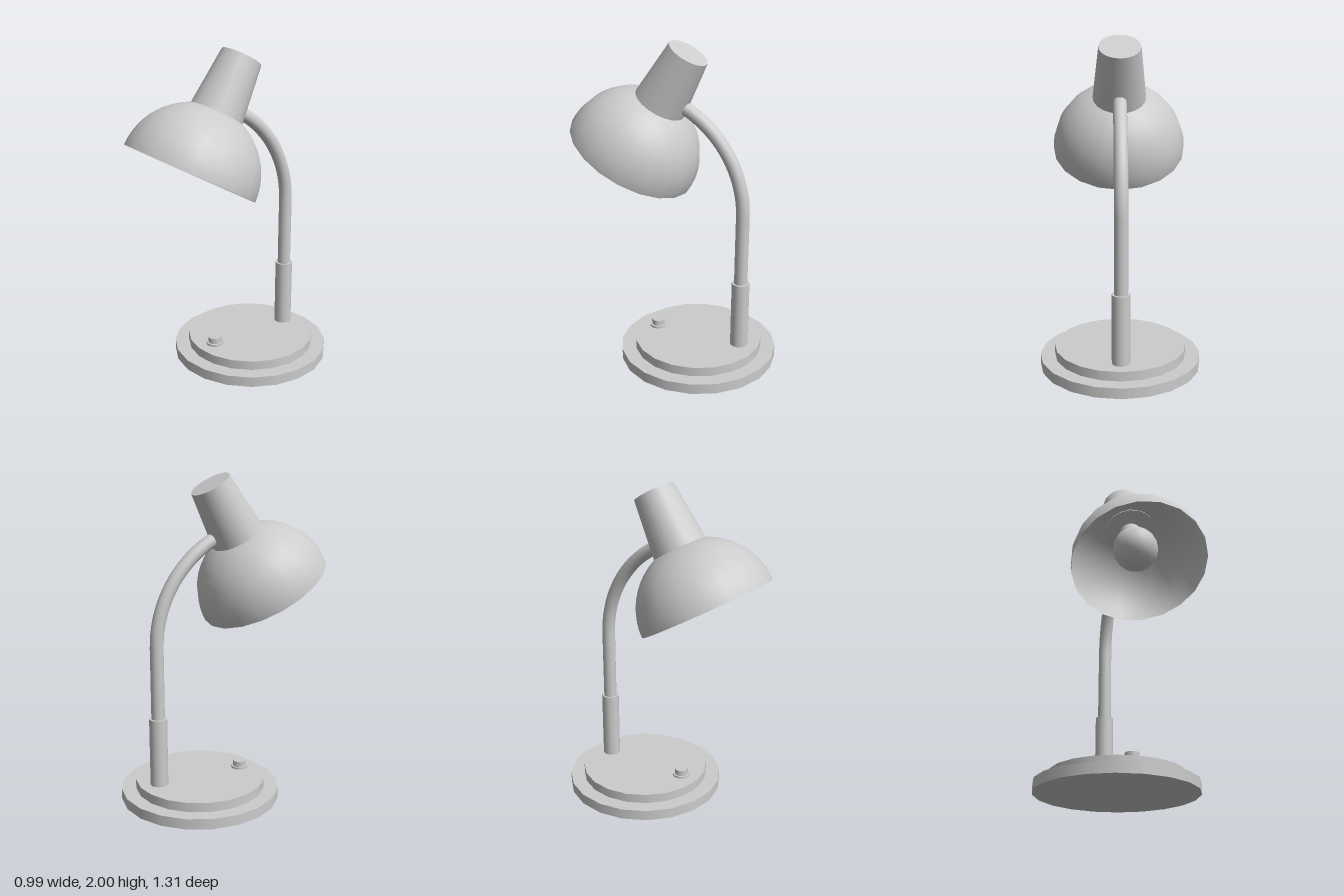
import * as THREE from 'three';

const SIDES = 20;
const ARM_Z = -0.44;

export function createModel() {
  const lamp = new THREE.Group();
  lamp.name = 'deskLamp';
  const grey = new THREE.MeshStandardMaterial({ color: 0xcccccc });
  const thin = new THREE.MeshStandardMaterial({ color: 0xcccccc, side: THREE.DoubleSide });

  function add(parent, name, geometry, material = grey) {
    const mesh = new THREE.Mesh(geometry, material);
    mesh.name = name;
    parent.add(mesh);
    return mesh;
  }

  // Upright cylinder spanning y0..y1
  function post(parent, name, rTop, rBottom, y0, y1, z = 0, sides = SIDES) {
    const mesh = add(parent, name, new THREE.CylinderGeometry(rTop, rBottom, y1 - y0, sides));
    mesh.position.set(0, (y0 + y1) / 2, z);
    return mesh;
  }

  // Stepped round base
  post(lamp, 'baseLower', 0.495, 0.495, 0, 0.065, -0.16);
  post(lamp, 'baseUpper', 0.405, 0.405, 0.065, 0.123, -0.16);

  // Push switch
  post(lamp, 'switchCollar', 0.055, 0.055, 0.12, 0.136, 0.125, 10);
  post(lamp, 'switchButton', 0.042, 0.042, 0.13, 0.171, 0.125, 10);

  // Sleeve, then the arm: a straight run followed by an arc into the neck
  post(lamp, 'armSleeve', 0.055, 0.055, 0.12, 0.55, ARM_Z);
  const bendY = 0.99, bendR = 0.7, bendAngle = THREE.MathUtils.degToRad(66);
  const path = new THREE.CurvePath();
  path.add(new THREE.LineCurve3(new THREE.Vector3(0, 0.5, ARM_Z), new THREE.Vector3(0, bendY, ARM_Z)));
  const arc = [];
  for (let i = 0; i <= 12; i++) {
    const a = (bendAngle * i) / 12;
    arc.push(new THREE.Vector3(0, bendY + bendR * Math.sin(a), ARM_Z + bendR * (1 - Math.cos(a))));
  }
  path.add(new THREE.CatmullRomCurve3(arc));
  add(lamp, 'arm', new THREE.TubeGeometry(path, 40, 0.041, 16, false), thin);

  // Tilted head, with its origin at the centre of the shade rim
  const head = new THREE.Group();
  head.name = 'head';
  head.position.set(0, 1.2925, 0.2925);
  head.rotation.x = -Math.PI / 6;
  lamp.add(head);

  // Hemispherical shade, open below
  add(head, 'shade', new THREE.SphereGeometry(0.418, SIDES, 14, 0, Math.PI * 2, 0, Math.PI / 2), thin);
  post(head, 'neck', 0.126, 0.165, 0.375, 0.745);

  // Bulb and its socket
  add(head, 'bulb', new THREE.SphereGeometry(0.14, SIDES, 14)).position.y = 0.172;
  post(head, 'bulbSocket', 0.07, 0.07, 0.28, 0.4);

  return lamp;
}
